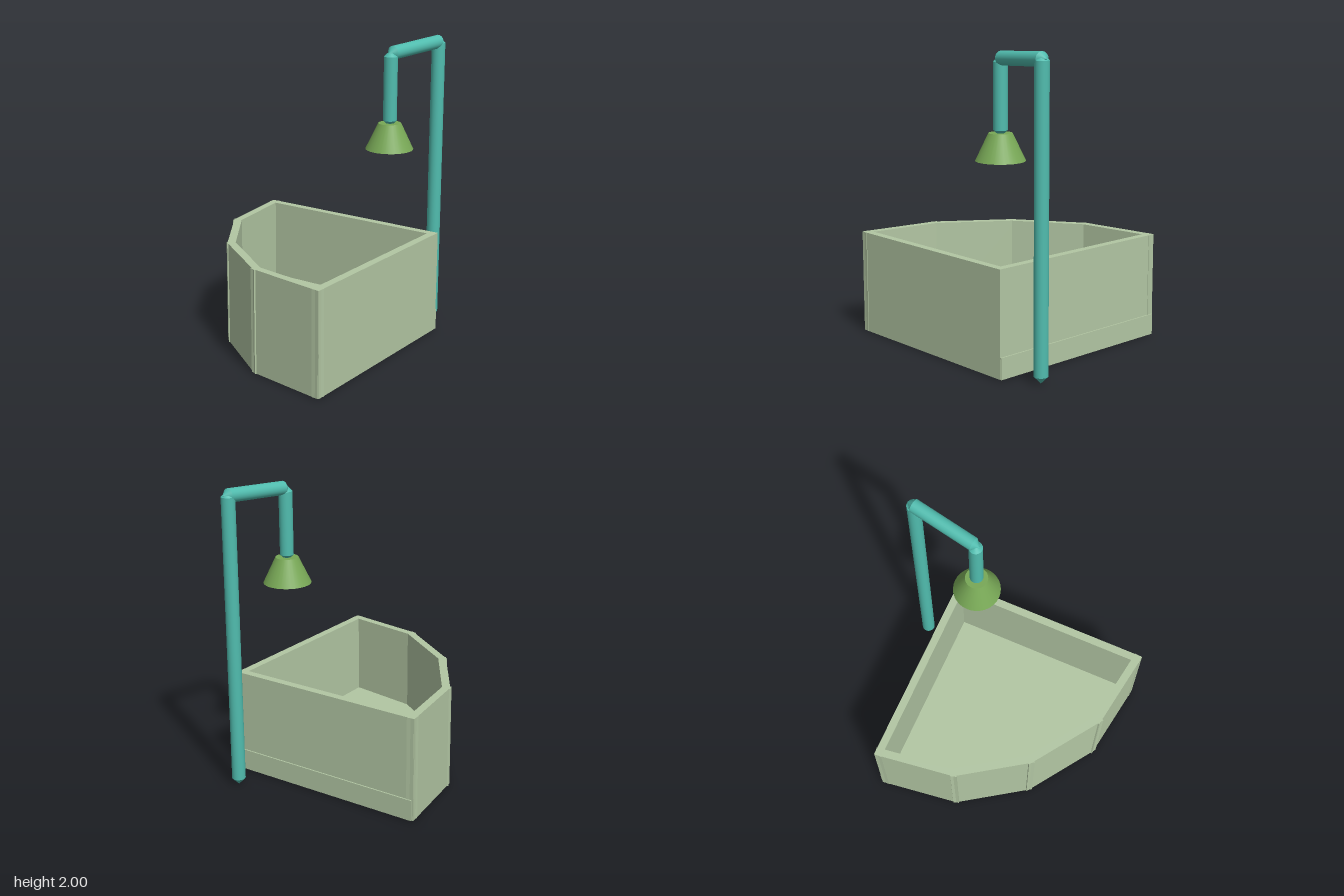
import * as THREE from 'three';

const PIPE_R = 0.045;
const WALL_T = 0.053;

// Plan outlines as [x, z]: centre line of the walls, and the floor slab
const WALL_LINE = [[-0.792, 0.663], [-0.713, 0.145], [-0.404, -0.303], [0.03, -0.595], [0.547, -0.667], [0.547, 0.663]];
const BASE = [[-0.818, 0.689], [-0.733, 0.132], [-0.41, -0.327], [0.03, -0.617], [0.583, -0.686], [0.583, 0.689]];

// Upright wall panel between two plan points, running past each by half its thickness
function createWallPanel([ax, az], [bx, bz], y0, y1, material) {
  const length = Math.hypot(bx - ax, bz - az) + WALL_T;
  const panel = new THREE.Mesh(new THREE.BoxGeometry(length, y1 - y0, WALL_T), material);
  panel.name = 'wallPanel';
  panel.position.set((ax + bx) / 2, (y0 + y1) / 2, (az + bz) / 2);
  panel.rotation.y = Math.atan2(az - bz, bx - ax);
  return panel;
}

// Flat slab from a plan outline, from y0 up to y1
function createSlab(outline, y0, y1, material) {
  const shape = new THREE.Shape(outline.map(([x, z]) => new THREE.Vector2(x, -z)));
  const geometry = new THREE.ExtrudeGeometry(shape, { depth: y1 - y0, bevelEnabled: false });
  return new THREE.Mesh(geometry.rotateX(-Math.PI / 2).translate(0, y0, 0), material);
}

// Straight pipe with a pointed cap on both ends
function createPipe(name, from, to, material) {
  const a = new THREE.Vector3(...from);
  const b = new THREE.Vector3(...to);
  const length = a.distanceTo(b);
  const direction = b.clone().sub(a).normalize();
  const pipe = new THREE.Group();
  pipe.name = name;

  const tube = new THREE.Mesh(new THREE.CylinderGeometry(PIPE_R, PIPE_R, length, 24, 1, true), material);
  tube.name = name + 'Tube';
  pipe.add(tube);

  for (const side of [1, -1]) {
    const cap = new THREE.Mesh(new THREE.ConeGeometry(PIPE_R, PIPE_R, 24, 1, true), material);
    cap.name = name + 'Cap';
    cap.position.y = side * (length + PIPE_R) / 2;
    if (side < 0) cap.rotation.x = Math.PI;
    pipe.add(cap);
  }

  pipe.position.copy(a).add(b).multiplyScalar(0.5);
  pipe.quaternion.setFromUnitVectors(new THREE.Vector3(0, 1, 0), direction);
  return pipe;
}

export function createModel() {
  const model = new THREE.Group();
  model.name = 'basinWithShower';

  const stone = new THREE.MeshStandardMaterial({ color: 0xb2c6a3 });
  stone.name = 'pale green stone';
  const teal = new THREE.MeshStandardMaterial({ color: 0x50bcae });
  teal.name = 'teal pipe';
  const green = new THREE.MeshStandardMaterial({ color: 0x78a856 });
  green.name = 'leaf green';

  // Basin floor
  const base = createSlab(BASE, 0.007, 0.147, stone);
  base.name = 'basinFloor';
  model.add(base);

  // Basin walls, one panel per side
  const walls = new THREE.Group();
  walls.name = 'basinWalls';
  WALL_LINE.forEach((point, i) => {
    const next = WALL_LINE[(i + 1) % WALL_LINE.length];
    walls.add(createWallPanel(point, next, 0.007, 0.698, stone));
  });
  model.add(walls);

  // Pipework: standing pole, overhead arm and drop
  model.add(
    createPipe('pole', [0.774, 0.047, 0.54], [0.774, 1.947, 0.54], teal),
    createPipe('arm', [0.774, 1.954, 0.539], [0.334, 1.928, 0.458], teal),
    createPipe('drop', [0.318, 1.487, 0.452], [0.318, 1.906, 0.452], teal)
  );

  // Flared shower head
  const head = new THREE.Mesh(new THREE.CylinderGeometry(0.075, 0.157, 0.172, 32), green);
  head.name = 'showerHead';
  head.position.set(0.318, 1.384, 0.452);
  model.add(head);

  return model;
}
